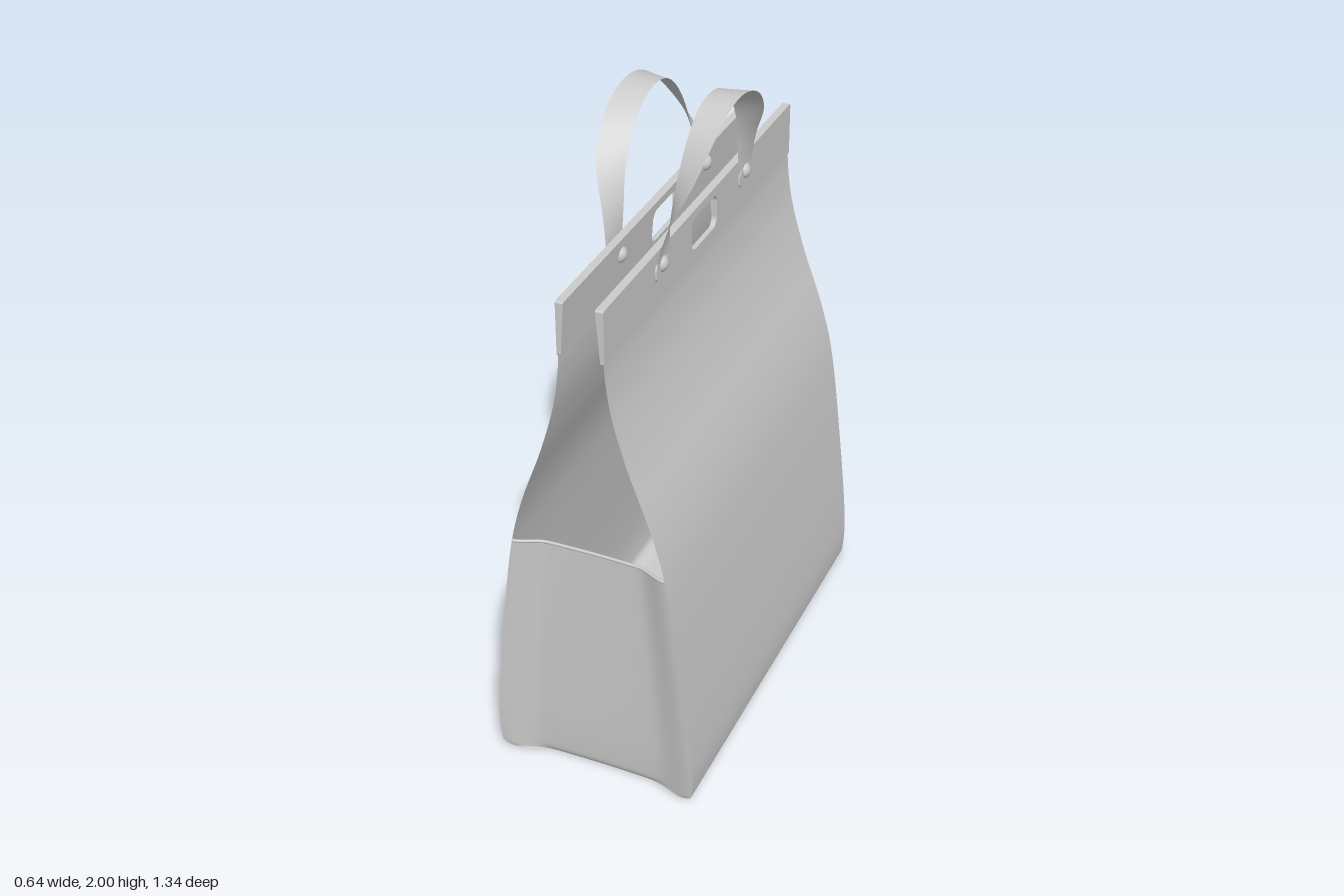
import * as THREE from 'three';

const V = (x, y, z) => new THREE.Vector3(x, y, z);

// Surface through rows of points, outward = (row direction) x (column direction)
function grid(rows) {
  const n = rows[0].length, index = [];
  for (let i = 0; i < rows.length - 1; i++)
    for (let j = 0; j < n - 1; j++) {
      const a = i * n + j, b = a + 1, c = a + n, d = c + 1;
      index.push(a, c, b, b, c, d);
    }
  const g = new THREE.BufferGeometry().setFromPoints(rows.flat());
  g.setIndex(index);
  g.computeVertexNormals();
  return g;
}

function roundedRect(Type, x0, y0, x1, y1, r) {
  const s = new Type();
  s.moveTo(x0 + r, y0);
  s.lineTo(x1 - r, y0).absarc(x1 - r, y0 + r, r, -Math.PI / 2, 0);
  s.lineTo(x1, y1 - r).absarc(x1 - r, y1 - r, r, 0, Math.PI / 2);
  s.lineTo(x0 + r, y1).absarc(x0 + r, y1 - r, r, Math.PI / 2, Math.PI);
  s.lineTo(x0, y0 + r).absarc(x0 + r, y0 + r, r, Math.PI, Math.PI * 1.5);
  return s;
}

// Inward fold of the bag ends, u = -1..1 across the end
const dent = u => 0.028 * THREE.MathUtils.smoothstep(1 - Math.abs(u), 0, 0.42)
  + 0.008 * Math.cos(u * Math.PI / 2);

export function createModel() {
  const model = new THREE.Group();
  model.name = 'bag';
  const grey = new THREE.MeshStandardMaterial({ color: 0xcccccc, side: THREE.DoubleSide });
  grey.name = 'grey';
  const add = (parent, name, geometry) => {
    const m = new THREE.Mesh(geometry, grey);
    m.name = name;
    parent.add(m);
    return m;
  };

  // Side profile from the cuff to the floor: half thickness, height, half width
  const sidePoints = [
    [0.066, 1.52, 0.664], [0.07, 1.45, 0.664], [0.086, 1.34, 0.664], [0.13, 1.18, 0.664],
    [0.20, 0.98, 0.664], [0.238, 0.83, 0.664], [0.283, 0.5, 0.662], [0.318, 0.16, 0.657],
    [0.319, 0.06, 0.652], [0.312, 0.02, 0.648], [0.285, 0.002, 0.64], [0.265, 0, 0.637],
  ].map(p => V(...p));
  const side = new THREE.CatmullRomCurve3(sidePoints, false, 'centripetal')
    .getPoints((sidePoints.length - 1) * 8);
  side.forEach(p => { p.y = Math.max(p.y, 0); });
  const foot = side[side.length - 1];

  // Body: one sheet down one side, under the floor and up the other side
  const sheet = (x, y, w) => [V(x, y, w), V(x, y, 0), V(x, y, -w)];
  const rows = side.map(p => sheet(p.x, p.y, p.z));
  for (let i = 1; i < 24; i++) {
    const u = 1 - i / 12;
    rows.push(sheet(u * foot.x, 0, foot.z - dent(u)));
  }
  rows.push(...[...side].reverse().map(p => sheet(-p.x, p.y, p.z)));
  add(model, 'bodySheet', grid(rows));

  // Folded end panels with a rolled rim
  const lower = side.filter(p => p.y <= 0.8305);
  const endRows = lower.map(p => Array.from({ length: 41 }, (_, j) => {
    const u = j / 20 - 1;
    return V(u * p.x, p.y, p.z - dent(u));
  }));
  const endGeometry = grid(endRows);
  const rim = new THREE.TubeGeometry(new THREE.CatmullRomCurve3(endRows[0]), 60, 0.005, 8);
  for (const angle of [0, Math.PI]) {
    add(model, 'endPanel', endGeometry).rotation.y = angle;
    add(model, 'endRim', rim).rotation.y = angle;
  }

  // Cuff with a grip slot, thinner toward its lower edge
  const cuffShape = roundedRect(THREE.Shape, -0.666, 1.5, 0.666, 1.668, 0.006);
  cuffShape.holes.push(roundedRect(THREE.Path, -0.09, 1.54, 0.09, 1.643, 0.028));
  const cuff = new THREE.ExtrudeGeometry(cuffShape, { depth: 0.024, bevelEnabled: false, curveSegments: 8 });
  cuff.rotateY(Math.PI / 2).translate(0.046, 0, 0);
  const pos = cuff.attributes.position;
  for (let i = 0; i < pos.count; i++)
    if (pos.getX(i) < 0.05) pos.setX(i, 0.046 + 0.012 * (1.668 - pos.getY(i)) / 0.168);
  cuff.computeVertexNormals();

  // Handle strap: two edge curves, upright at the tabs and lying flat at the top
  const edge = half => new THREE.CatmullRomCurve3([
    ...half.map(p => V(...p)),
    ...half.slice(0, -1).reverse().map(([x, y, z]) => V(x, y, -z)),
  ]).getPoints(96);
  const outer = edge([[0.075, 1.59, 0.343], [0.078, 1.65, 0.338], [0.1, 1.74, 0.31],
    [0.145, 1.85, 0.25], [0.165, 1.937, 0.17], [0.17, 1.985, 0.085], [0.17, 2, 0]]);
  const inner = edge([[0.075, 1.59, 0.25], [0.072, 1.65, 0.247], [0.071, 1.73, 0.237],
    [0.077, 1.83, 0.208], [0.08, 1.922, 0.15], [0.08, 1.978, 0.08], [0.08, 1.996, 0]]);
  const strap = grid(outer.map((p, i) => [p, p.clone().lerp(inner[i], 0.5), inner[i]]));

  // Rounded tab closing each strap end
  const tab = new THREE.ExtrudeGeometry(
    roundedRect(THREE.Shape, -0.047, 1.577, 0.047, 1.63, 0.018),
    { depth: 0.006, bevelEnabled: false, curveSegments: 6 });
  tab.rotateY(Math.PI / 2);

  // Domed rivet head on both faces of the cuff
  const rivet = new THREE.SphereGeometry(0.027, 20, 14);
  rivet.scale(1, 1, 1);

  for (const angle of [0, Math.PI]) {
    const top = new THREE.Group();
    top.name = 'handleSide';
    top.rotation.y = angle;
    add(top, 'cuff', cuff);
    add(top, 'handleStrap', strap);
    for (const s of [-1, 1]) {
      add(top, 'strapTab', tab).position.set(0.07, 0, s * 0.2965);
      add(top, 'rivet', rivet).position.set(0.062, 1.617, s * 0.2965);
    }
    model.add(top);
  }
  return model;
}
